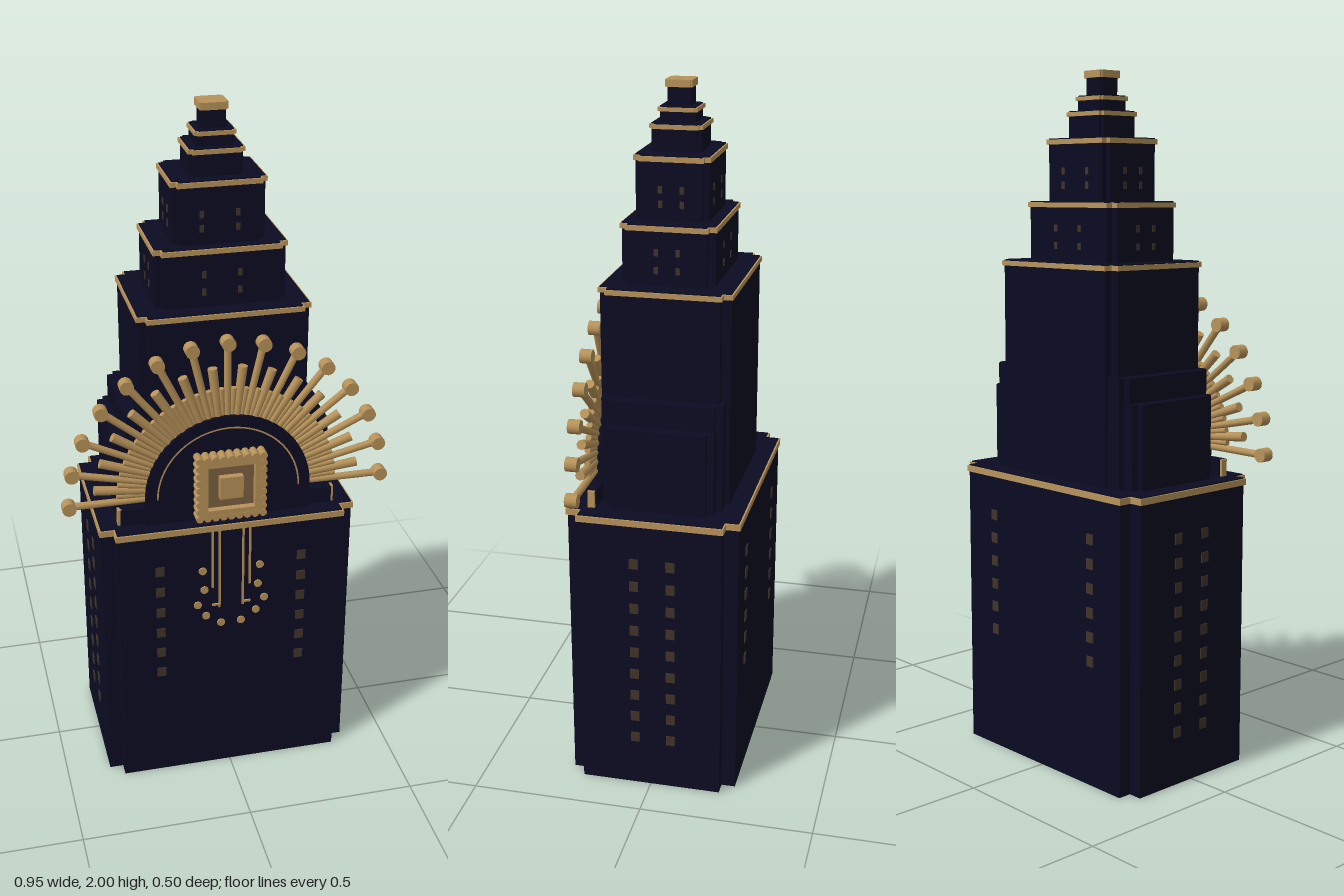
import * as THREE from 'three';

const mat = (name, color) => {
  const m = new THREE.MeshStandardMaterial({ color });
  m.name = name;
  return m;
};

export function createModel() {
  const navy = mat('navy stone', 0x0b0b22);
  const gold = mat('gold', 0xb8935a);
  const bronze = mat('shaded bronze', 0x7d6140);
  const glass = mat('dim window', 0x40342a);

  const model = new THREE.Group();
  model.name = 'steppedTower';

  const add = (name, geometry, material, x = 0, y = 0, z = 0, parent = model) => {
    const mesh = new THREE.Mesh(geometry, material);
    mesh.name = name;
    mesh.position.set(x, y, z);
    parent.add(mesh);
    return mesh;
  };
  const box = (name, m, w, h, d, x, y, z, parent) =>
    add(name, new THREE.BoxGeometry(w, h, d), m, x, y, z, parent);

  // Block with a square notch cut from each vertical corner; stands on y = 0
  const notched = (hw, hd, n, h) => {
    const s = new THREE.Shape();
    s.moveTo(-hw, -hd + n);
    [[-hw + n, -hd + n], [-hw + n, -hd], [hw - n, -hd], [hw - n, -hd + n], [hw, -hd + n],
      [hw, hd - n], [hw - n, hd - n], [hw - n, hd], [-hw + n, hd], [-hw + n, hd - n], [-hw, hd - n]]
      .forEach(([x, y]) => s.lineTo(x, y));
    s.closePath();
    return new THREE.ExtrudeGeometry(s, { depth: h, bevelEnabled: false }).rotateX(-Math.PI / 2);
  };

  // Tiers: half width, half depth, notch, bottom, top, z centre, trim height
  const tiers = [
    [0.37, 0.245, 0.04, 0, 0.83, 0, 0.018],
    [0.24, 0.183, 0.025, 0.84, 1.45, -0.011, 0.014],
    [0.182, 0.13, 0.02, 1.46, 1.618, -0.008, 0.014],
    [0.128, 0.102, 0.016, 1.63, 1.795, -0.007, 0.014],
    [0.073, 0.069, 0.01, 1.805, 1.873, -0.007, 0.012],
    [0.052, 0.05, 0.007, 1.885, 1.917, -0.007, 0.011],
    [0.034, 0.033, 0.005, 1.925, 1.98, -0.007, 0.02],
  ];
  tiers.forEach(([hw, hd, n, y0, y1, z, t], i) => {
    add('tierBody', notched(hw, hd, n, y1 - y0), navy, 0, y0, z);
    add(i === 6 ? 'cap' : 'tierTrim', notched(hw + 0.005, hd + 0.005, n, t), gold, 0, y1, z);
    if (i < 6) add('tierRoof', notched(hw, hd, n, 0.003), navy, 0, y1 + t, z);
  });

  // Stepped shoulders around the second tier
  add('innerShoulder', notched(0.28, 0.172, 0.02, 0.32), navy, 0, 0.84, -0.011);
  add('outerShoulder', notched(0.315, 0.155, 0.02, 0.25), navy, 0, 0.84, -0.011);

  // Window columns on all four faces of the base
  const windows = new THREE.Group();
  windows.name = 'windows';
  model.add(windows);
  for (const s of [-1, 1]) {
    for (let i = 0; i < 6; i++)
      for (const x of [-0.21, 0.21])
        box('window', glass, 0.026, 0.03, 0.006, x, 0.365 + i * 0.07, s * 0.245, windows);
    for (let i = 0; i < 9; i++)
      for (const z of [-0.06, 0.045])
        box('window', glass, 0.006, 0.03, 0.026, s * 0.37, 0.155 + i * 0.07, z, windows);
  }

  // Sunburst: long rays ending in discs, with shorter tapered rays between
  const cy = 0.93;
  const sunburst = new THREE.Group();
  sunburst.name = 'sunburst';
  sunburst.position.set(0, cy, 0.19);
  model.add(sunburst);
  const radial = (name, a, r0, r1, w0, w1) => {
    const g = new THREE.CylinderGeometry(w1, w0, r1 - r0, 8);
    const ray = add(name, g, gold, Math.cos(a) * (r0 + r1) / 2, Math.sin(a) * (r0 + r1) / 2, 0, sunburst);
    ray.rotation.z = a - Math.PI / 2;
  };
  const step = Math.PI / 14;
  for (let i = 0; i < 15; i++) {
    const a = i * step;
    radial('longRay', a, 0.22, 0.45, 0.01, 0.011);
    add('rayDisc', new THREE.CylinderGeometry(0.02, 0.02, 0.034, 14).rotateX(Math.PI / 2),
      gold, Math.cos(a) * 0.455, Math.sin(a) * 0.455, 0.002, sunburst);
    if (i < 14) {
      radial('shortRay', a + step / 2, 0.22, 0.385, 0.011, 0.014);
      for (const k of [0.25, 0.75]) radial('innerRay', a + step * k, 0.22, 0.32, 0.007, 0.009);
    }
  }

  // Arched navy panel behind the emblem, with a fine gold line
  const arch = new THREE.Shape();
  arch.moveTo(-0.24, 0.85 - cy);
  arch.lineTo(0.24, 0.85 - cy);
  arch.lineTo(0.24, 0);
  arch.absarc(0, 0, 0.24, 0, Math.PI, false);
  arch.closePath();
  add('archPanel', new THREE.ExtrudeGeometry(arch, { depth: 0.04, bevelEnabled: false, curveSegments: 32 }),
    navy, 0, cy, 0.168);
  add('archLine', new THREE.RingGeometry(0.203, 0.208, 40, 1, 0, Math.PI), gold, 0, cy, 0.21);
  for (const s of [-1, 1]) {
    box('archFoot', navy, 0.07, 0.06, 0.03, s * 0.275, 0.87, 0.18);
    box('footTrim', gold, 0.012, 0.05, 0.02, s * 0.312, 0.875, 0.18);
  }

  // Square emblem with a ribbed frame and a raised centre
  const emblem = new THREE.Group();
  emblem.name = 'emblem';
  emblem.position.set(0, 0.965, 0);
  model.add(emblem);
  const frame = new THREE.Shape();
  const square = (p, r) => p.moveTo(-r, -r).lineTo(r, -r).lineTo(r, r).lineTo(-r, r).closePath();
  square(frame, 0.094);
  const hole = new THREE.Path();
  square(hole, 0.068);
  frame.holes.push(hole);
  add('emblemFrame', new THREE.ExtrudeGeometry(frame, { depth: 0.048, bevelEnabled: false }), gold, 0, 0, 0.2, emblem);
  box('emblemRecess', bronze, 0.14, 0.14, 0.03, 0, 0, 0.213, emblem);
  box('emblemCentre', gold, 0.068, 0.068, 0.022, 0, 0, 0.237, emblem);
  const rib = new THREE.CylinderGeometry(0.011, 0.011, 0.046, 10).rotateX(Math.PI / 2);
  for (let i = 0; i < 9; i++) {
    const t = -0.092 + i * 0.023;
    for (const s of [-1, 1]) {
      add('emblemRib', rib, gold, t, s * 0.092, 0.226, emblem);
      add('emblemRib', rib, gold, s * 0.092, t, 0.226, emblem);
    }
  }

  // Pendant inlay below the emblem: thin lines and a curve of small studs
  for (const s of [-1, 1]) {
    box('pendantLine', gold, 0.006, 0.27, 0.006, s * 0.035, 0.705, 0.247);
    box('pendantLine', gold, 0.006, 0.2, 0.006, s * 0.055, 0.74, 0.247);
    box('pendantFoot', gold, 0.025, 0.006, 0.006, s * 0.045, 0.58, 0.247);
    for (const [x, y] of [[0.03, 0.515], [0.075, 0.545], [0.1, 0.585], [0.08, 0.635], [0.085, 0.7]])
      add('pendantStud', new THREE.CylinderGeometry(0.012, 0.012, 0.008, 10).rotateX(Math.PI / 2),
        gold, s * x, y, 0.246);
  }

  // Small windows on the upper tiers
  for (const [i, ys] of [[2, [1.51, 1.56]], [3, [1.68, 1.72]]]) {
    const [hw, hd, , , , z] = tiers[i];
    for (const y of ys) for (const s of [-1, 1]) for (const o of [-0.05, 0.05]) {
      box('upperWindow', glass, 0.012, 0.02, 0.004, o, y, z + s * hd, windows);
      box('upperWindow', glass, 0.004, 0.02, 0.012, s * hw, y, z + o * 0.6, windows);
    }
  }

  return model;
}
